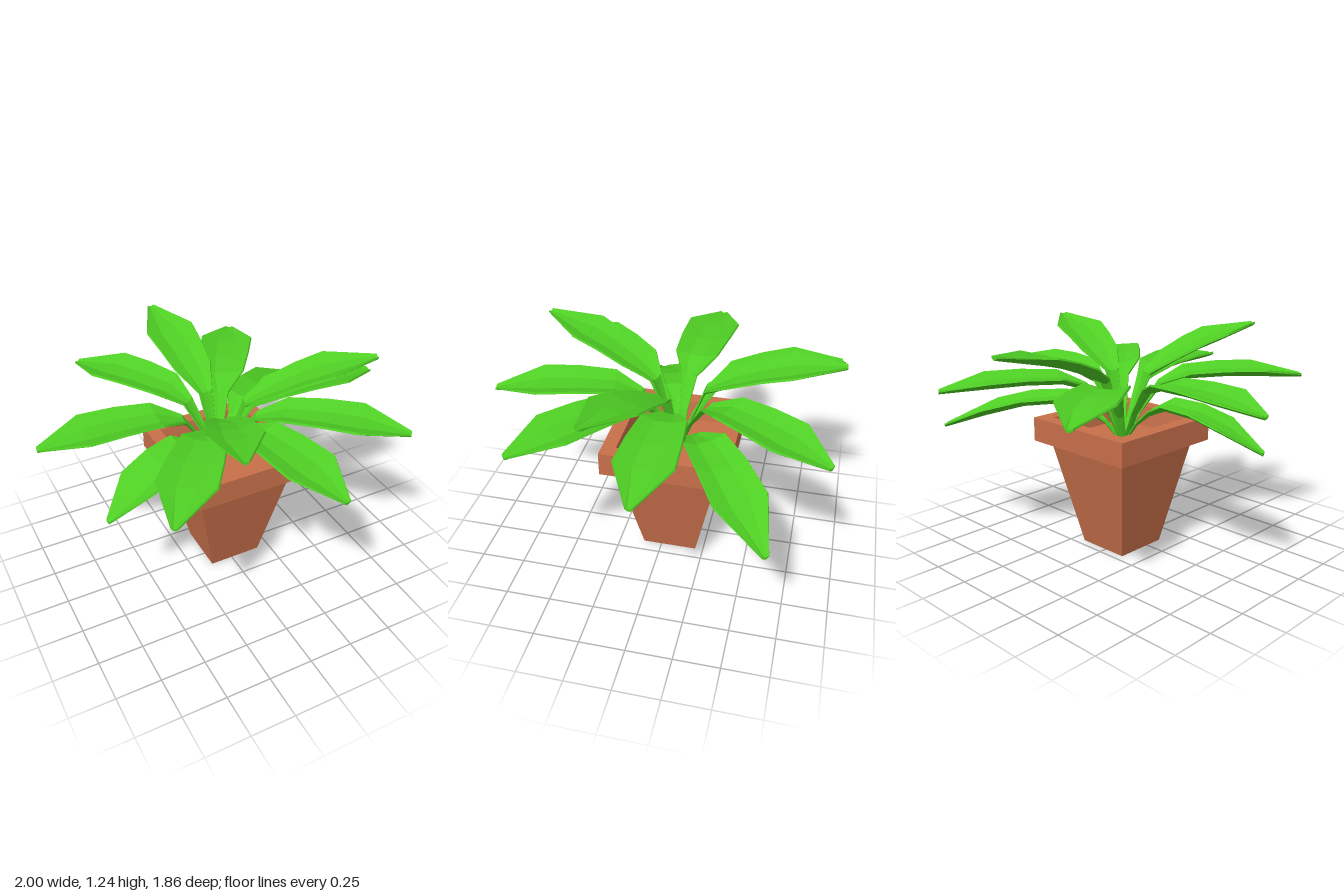
import * as THREE from 'three';

const clay = new THREE.MeshStandardMaterial({ color: 0xc8704a, flatShading: true });
const green = new THREE.MeshStandardMaterial({ color: 0x4fcf24, flatShading: true });

// Leaf spines: [fraction of reach, height, half width], from stalk to tip
const SPINES = {
  high: [[0.02, 0.64, 0.02], [0.08, 0.8, 0.025], [0.17, 1.01, 0.045], [0.35, 1.1, 0.12], [0.52, 1.16, 0.14], [0.69, 1.205, 0.155], [1, 1.235, 0.02]],
  mid: [[0.02, 0.64, 0.02], [0.09, 0.8, 0.025], [0.2, 0.96, 0.045], [0.35, 1.025, 0.125], [0.55, 1.035, 0.145], [0.75, 1.03, 0.155], [1, 0.975, 0.02]],
  low: [[0.02, 0.64, 0.02], [0.1, 0.74, 0.025], [0.2, 0.82, 0.045], [0.33, 0.88, 0.12], [0.53, 0.86, 0.14], [0.74, 0.8, 0.15], [1, 0.67, 0.02]],
};

// Closed leaf running along +z, with raised sides and a sunken channel
function leafGeometry(spine, reach, lift) {
  const rings = spine.map(([t, y, w]) => {
    const z = t * reach, yy = y + lift * t;
    const dip = Math.min(0.03, w * 0.18), thick = w > 0.03 ? 0.022 : 0.014;
    const c = w * 0.36;
    return [
      [-w, yy - 0.006], [-c, yy - dip - thick], [c, yy - dip - thick], [w, yy - 0.006],
      [w * 0.96, yy + 0.004], [c, yy - dip], [-c, yy - dip], [-w * 0.96, yy + 0.004],
    ].map(([x, h]) => new THREE.Vector3(x, h, z));
  });
  const points = [];
  const n = rings[0].length;
  for (let i = 0; i < rings.length - 1; i++) {
    for (let j = 0; j < n; j++) {
      const k = (j + 1) % n;
      const [a, b, c, d] = [rings[i][j], rings[i][k], rings[i + 1][k], rings[i + 1][j]];
      points.push(a, b, c, a, c, d);
    }
  }
  // End caps, in strips across the section
  const first = rings[0], last = rings[rings.length - 1];
  for (let j = 0; j < 3; j++) {
    points.push(last[j], last[j + 1], last[6 - j], last[j], last[6 - j], last[7 - j]);
    points.push(first[j + 1], first[j], first[6 - j], first[j], first[7 - j], first[6 - j]);
  }
  const geometry = new THREE.BufferGeometry().setFromPoints(points);
  geometry.computeVertexNormals();
  return geometry;
}

export function createModel() {
  const model = new THREE.Group();

  // Square hollow pot: four-sided lathe given as [half side, height]
  const profile = [
    [0, 0], [0.155, 0], [0.282, 0.62], [0.348, 0.62],
    [0.348, 0.755], [0.27, 0.755], [0.255, 0.64], [0, 0.64],
  ].map(([half, y]) => new THREE.Vector2(half * Math.SQRT2, y));
  const pot = new THREE.Mesh(new THREE.LatheGeometry(profile, 4, Math.PI / 4), clay);
  pot.name = 'pot';
  pot.position.set(0.022, 0, -0.05);
  model.add(pot);

  // Leaves: tip x, tip z, spine type
  const leaves = new THREE.Group();
  leaves.name = 'leaves';
  leaves.position.set(-0.005, 0, -0.06);
  const tips = [
    [-0.02, -0.93, 'high'], [0.51, -0.91, 'mid'], [0.86, -0.66, 'low'], [1.0, -0.05, 'mid'],
    [0.82, 0.23, 'high'], [0.78, 0.63, 'mid'], [0.17, 0.93, 'mid'], [-0.28, 0.75, 'high'],
    [-0.63, 0.74, 'mid'], [-0.77, 0.2, 'low'], [-1.0, -0.14, 'mid'], [-0.52, -0.92, 'mid'],
  ];
  tips.forEach(([x, z, type], i) => {
    const dx = x - leaves.position.x, dz = z - leaves.position.z;
    const reach = Math.hypot(dx, dz);
    const leaf = new THREE.Mesh(leafGeometry(SPINES[type], reach, ((i % 3) - 1) * 0.006), green);
    leaf.name = `leaf${i + 1}`;
    leaf.rotation.y = Math.atan2(dx, dz);
    leaf.scale.x = Math.min(1, 0.25 + reach * 0.8);
    leaves.add(leaf);
  });
  model.add(leaves);

  return model;
}
